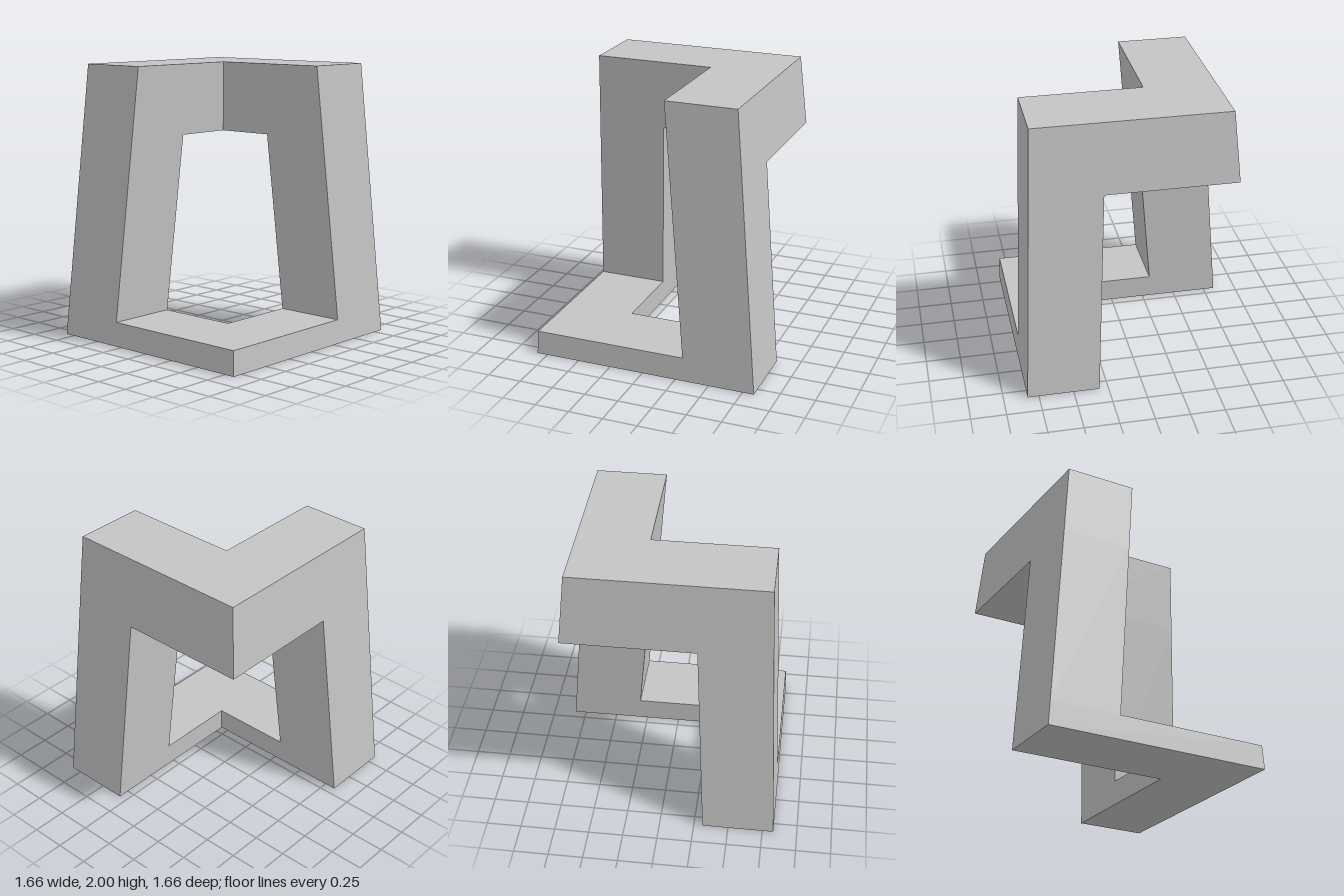
import * as THREE from 'three';

// Four leaning planes, used along both x and z: [offset at y = 0, offset at y = 2]
const PLANES = {
  A: [-0.833, -0.655], // outer, negative side
  B: [-0.318, -0.14],  // inner, negative side
  C: [0.313, 0.222],   // inner, positive side
  D: [0.83, 0.735],    // outer, positive side
};
const TOP = 2, LINTEL = 1.485, SILL = 0.175;

// Corners are written as plane pairs (x then z), counter-clockwise from above
function ring(corners, y) {
  const at = (k) => THREE.MathUtils.lerp(PLANES[k][0], PLANES[k][1], y / TOP);
  return corners.split(' ').map(([x, z]) => new THREE.Vector3(at(x), y, at(z)));
}

// Loft between two heights, with optional cap outlines
function loft(corners, y0, y1, topCap, bottomCap) {
  const pts = [];
  const low = ring(corners, y0), high = ring(corners, y1);
  low.forEach((p, i) => {
    const j = (i + 1) % low.length;
    pts.push(p, low[j], high[j], p, high[j], high[i]);
  });
  // Each cap is a fan from its first corner, the inside corner of the L
  const cap = (outline, y, up) => {
    const r = ring(outline, y);
    for (let i = 1; i < r.length - 1; i++) {
      pts.push(r[0], ...(up ? [r[i], r[i + 1]] : [r[i + 1], r[i]]));
    }
  };
  if (topCap) cap(topCap, y1, true);
  if (bottomCap) cap(bottomCap, y0, false);
  const geometry = new THREE.BufferGeometry().setFromPoints(pts);
  geometry.computeVertexNormals();
  return geometry;
}

export function createModel() {
  const group = new THREE.Group();
  group.name = 'twistedFrame';
  const grey = new THREE.MeshStandardMaterial({ color: 0xc4c4c4, flatShading: true });
  grey.name = 'lightGrey';
  const add = (name, geometry) => {
    const mesh = new THREE.Mesh(geometry, grey);
    mesh.name = name;
    group.add(mesh);
  };

  // L-shaped beam along the back and right, its underside stopping at the legs
  const upper = 'BB DB DA AA AD BD';
  add('upperBeam', loft(upper, LINTEL, TOP, upper, 'BB CB CA AA AC BC'));

  // L-shaped base along the front and left, its upper side stopping at the legs
  const lower = 'CC AC AD DD DA CA';
  add('base', loft(lower, 0, SILL, 'CC BC BD DD DB CB', lower));

  // Two leaning legs at opposite corners
  add('backLeg', loft('CB DB DA CA', SILL, LINTEL));
  add('frontLeg', loft('AD BD BC AC', SILL, LINTEL));

  return group;
}
